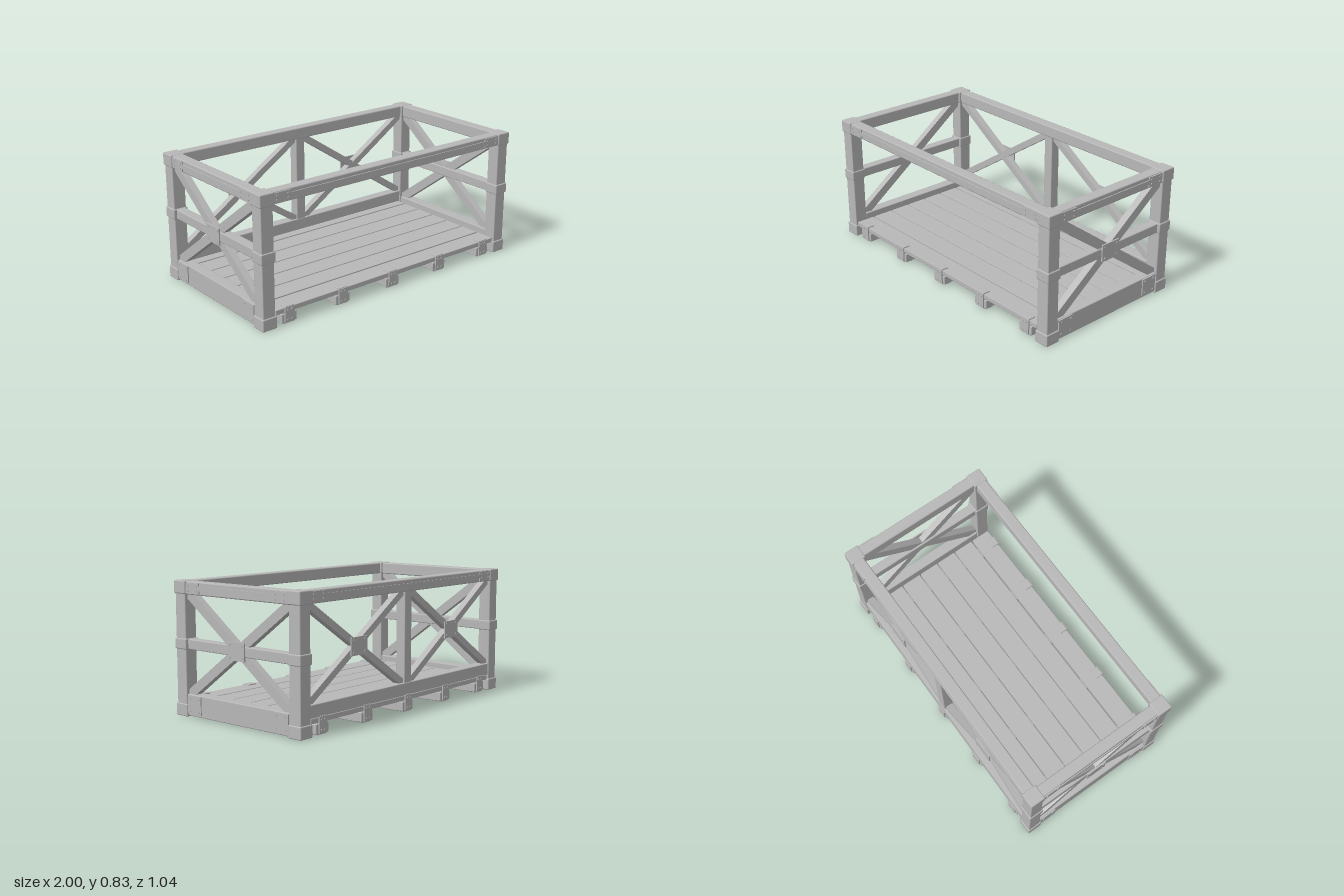
import * as THREE from 'three';
import { RoundedBoxGeometry } from 'three/addons/geometries/RoundedBoxGeometry.js';

export function createModel() {
  const root = new THREE.Group();
  root.name = 'crateFrame';
  const grey = new THREE.MeshStandardMaterial({ color: 0xb8b8b8 });
  grey.name = 'grey';

  const add = (name, geometry, x, y, z, parent = root) => {
    const mesh = new THREE.Mesh(geometry, grey);
    mesh.name = name;
    mesh.position.set(x, y, z);
    parent.add(mesh);
    return mesh;
  };
  // Box given by its limits, with softened edges when r > 0
  const block = (name, x0, x1, y0, y1, z0, z1, r = 0.006, parent = root) => {
    const w = x1 - x0, h = y1 - y0, d = z1 - z0;
    const g = r ? new RoundedBoxGeometry(w, h, d, 1, r) : new THREE.BoxGeometry(w, h, d);
    return add(name, g, (x0 + x1) / 2, (y0 + y1) / 2, (z0 + z1) / 2, parent);
  };
  // Upright beam between two points of a panel lying in its local XY plane
  const brace = (parent, x0, y0, x1, y1, width, depth, z) => {
    const len = Math.hypot(x1 - x0, y1 - y0);
    const m = add('brace', new THREE.BoxGeometry(len, width, depth), (x0 + x1) / 2, (y0 + y1) / 2, z, parent);
    m.rotation.z = Math.atan2(y1 - y0, x1 - x0);
  };
  // Bolted plate facing local +z
  const boltGeometry = new THREE.CylinderGeometry(0.007, 0.007, 0.006, 8).rotateX(Math.PI / 2);
  const plate = (name, parent, x0, x1, y0, y1, z, thickness = 0.009) => {
    block(name, x0, x1, y0, y1, z - thickness, z, 0, parent);
    for (const x of [x0 + 0.02, x1 - 0.02]) {
      for (const y of [y0 + 0.018, y1 - 0.018]) add('bolt', boltGeometry, x, y, z + 0.001, parent);
    }
  };
  const panel = (name, angle) => {
    const g = new THREE.Group();
    g.name = name;
    g.rotation.y = angle;
    root.add(g);
    return g;
  };

  // Corner posts with caps, feet and middle sleeves
  for (const sx of [-1, 1]) {
    for (const sz of [-1, 1]) {
      const px = sx * 0.95, pz = sz * 0.472;
      add('cornerPost', new RoundedBoxGeometry(0.086, 0.82, 0.086, 1, 0.006), px, 0.42, pz);
      for (const [name, y, h] of [['cornerFoot', 0.043, 0.078], ['postSleeve', 0.452, 0.066], ['cornerCap', 0.798, 0.08]]) {
        add(name, new RoundedBoxGeometry(0.1, h, 0.1, 1, 0.007), px, y, pz);
      }
    }
  }

  // Two identical end panels, local +z pointing outward
  for (const sx of [-1, 1]) {
    const end = panel('endPanel', sx * Math.PI / 2);
    block('endTopRail', -0.43, 0.43, 0.755, 0.835, 0.913, 0.987, 0.008, end);
    block('endTopStrip', -0.305, 0.305, 0.782, 0.81, 0.98, 0.993, 0, end);
    block('endMiddleRail', -0.43, 0.43, 0.42, 0.482, 0.915, 0.98, 0.006, end);
    block('endBoard', -0.43, 0.43, 0.01, 0.145, 0.913, 0.987, 0.006, end);
    brace(end, -0.43, 0.135, 0.43, 0.765, 0.058, 0.046, 0.95);
    brace(end, -0.43, 0.765, 0.43, 0.135, 0.058, 0.044, 0.95);
    plate('crossPlate', end, -0.07, 0.07, 0.395, 0.505, 0.988);
    for (const s of [-1, 1]) {
      const a = Math.min(s * 0.305, s * 0.42), b = Math.max(s * 0.305, s * 0.42);
      plate('topBracket', end, a, b, 0.762, 0.828, 0.994);
      plate('boardBracket', end, a, b, 0.025, 0.14, 0.994);
    }
  }

  // Long top rails at front and back, local +z pointing outward
  for (const angle of [0, Math.PI]) {
    const side = panel(angle ? 'backPanel' : 'frontPanel', angle);
    block('longTopRail', -0.91, 0.91, 0.758, 0.835, 0.436, 0.51, 0.008, side);
    block('longTopStrip', -0.78, 0.78, 0.783, 0.81, 0.505, 0.516, 0, side);
    plate('topBracket', side, -0.9, -0.78, 0.765, 0.828, 0.516);
    plate('topBracket', side, 0.78, 0.9, 0.765, 0.828, 0.516);
    if (!angle) continue;
    // Back only: lower rail, middle post and two crossed bays
    block('backLowerRail', -0.91, 0.91, 0.11, 0.19, 0.436, 0.51, 0.006, side);
    block('middlePost', -0.035, 0.035, 0.18, 0.765, 0.438, 0.506, 0.006, side);
    for (const s of [-1, 1]) {
      brace(side, s * 0.02, 0.18, s * 0.925, 0.772, 0.043, 0.046, 0.472);
      brace(side, s * 0.02, 0.772, s * 0.925, 0.18, 0.043, 0.044, 0.472);
      plate('crossPlate', side, s * 0.47 - 0.072, s * 0.47 + 0.072, 0.42, 0.53, 0.504);
    }
  }

  // Floor planks running lengthwise
  for (let i = -3; i <= 3; i++) {
    const z = i * 0.1475;
    const half = Math.abs(i) === 3 ? 0.066 : 0.07;
    block('floorPlank', -0.9, 0.9, 0.078, 0.11, z - half, z + half, 0.004);
  }

  // Skids under the floor, with bolted clips at both ends
  for (let i = -2; i <= 2; i++) {
    const x = i * 0.402;
    block('skid', x - 0.04, x + 0.04, 0.005, 0.078, -0.505, 0.505, 0.005);
    for (const angle of [0, Math.PI]) {
      const clip = panel('skidClip', angle);
      clip.position.x = x;
      block('clipBand', -0.053, 0.053, 0.012, 0.07, 0.455, 0.508, 0.004, clip);
      block('clipHook', -0.034, 0.034, 0.06, 0.118, 0.46, 0.512, 0.004, clip);
      plate('clipPlate', clip, -0.034, 0.034, 0.014, 0.112, 0.516);
    }
  }

  return root;
}
